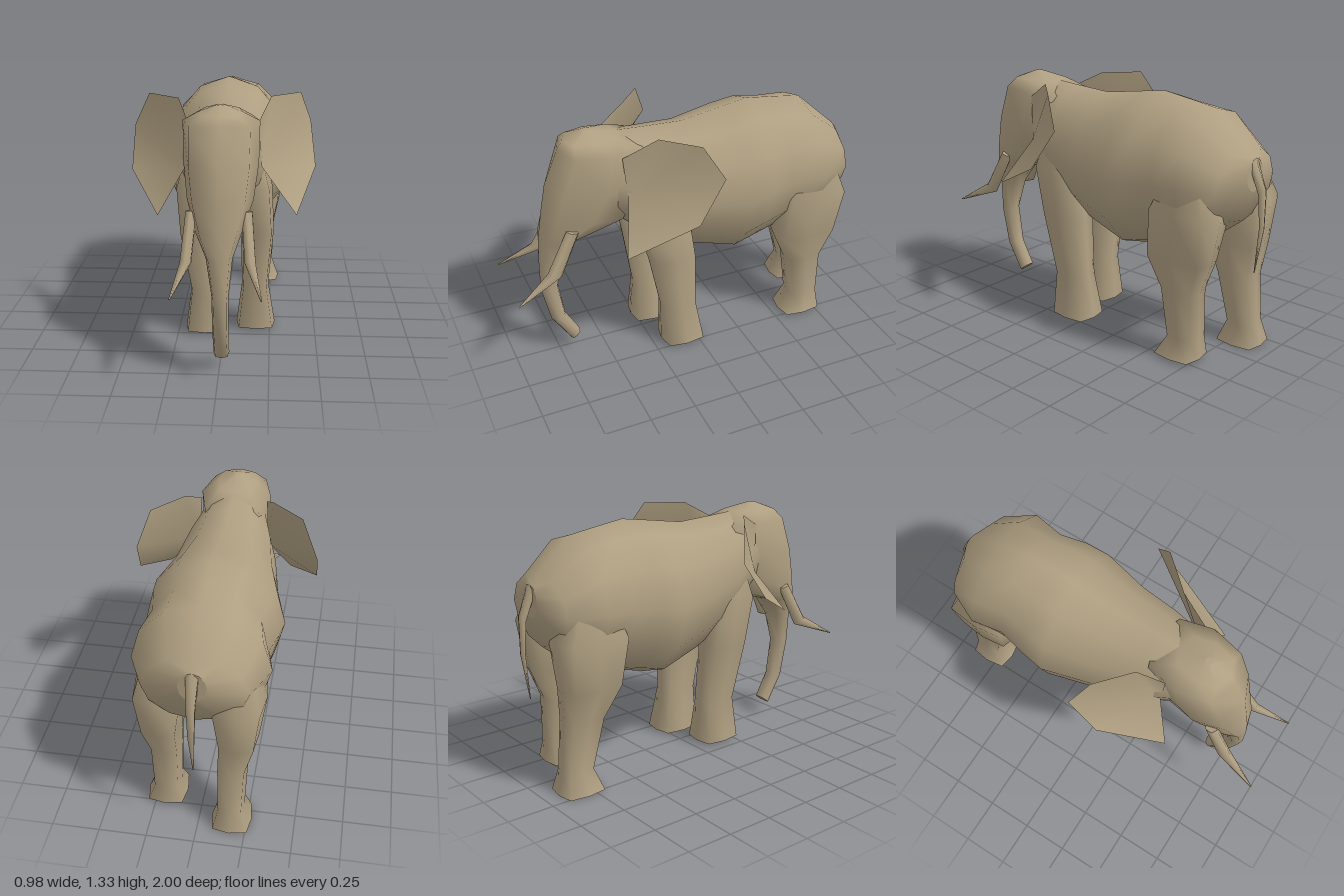
import * as THREE from 'three';

const hide = new THREE.MeshStandardMaterial({ color: 0xaf9f81, side: THREE.DoubleSide });
hide.name = 'tan hide';

// Lofts smooth skin through rings listed [frontZ, frontY, backZ, backY, halfWidth, centreX].
// bulge 1 gives an ellipse, smaller values a squarer section, larger ones a diamond.
function loft(name, rings, sides = 8, bulge = 1) {
  const pos = [], idx = [];
  const soft = (v) => (Math.abs(v) < 1e-6 ? 0 : Math.sign(v) * Math.abs(v) ** bulge);
  const point = ([fz, fy, bz, by, w, cx = 0], i) => {
    const a = (i / sides) * Math.PI * 2;
    const c = soft(Math.cos(a)), s = soft(Math.sin(a));
    return [cx + s * w, (fy + by) / 2 + (c * (fy - by)) / 2, (fz + bz) / 2 + (c * (fz - bz)) / 2];
  };
  for (const r of rings) for (let i = 0; i < sides; i++) pos.push(...point(r, i));
  for (let j = 0; j < rings.length - 1; j++) {
    for (let i = 0; i < sides; i++) {
      const n = (i + 1) % sides;
      const a = j * sides + i, b = a + sides, c = (j + 1) * sides + n, d = j * sides + n;
      idx.push(a, b, c, a, c, d);
    }
  }
  // separate vertices keep the end caps crisp
  [rings[0], rings[rings.length - 1]].forEach((r, end) => {
    const base = pos.length / 3;
    pos.push(r[5] || 0, (r[1] + r[3]) / 2, (r[0] + r[2]) / 2);
    for (let i = 0; i < sides; i++) pos.push(...point(r, i));
    for (let i = 0; i < sides; i++) {
      const p = base + 1 + i, q = base + 1 + ((i + 1) % sides);
      idx.push(base, end ? q : p, end ? p : q);
    }
  });
  return build(name, pos, idx);
}

function build(name, pos, idx) {
  const g = new THREE.BufferGeometry();
  g.setAttribute('position', new THREE.Float32BufferAttribute(pos, 3));
  g.setIndex(idx);
  g.computeVertexNormals();
  const mesh = new THREE.Mesh(g, hide);
  mesh.name = name;
  return mesh;
}

// Thin ear sheet, fanned from its lower root (the last point)
function ear(name, pts, flip) {
  const idx = [], last = pts.length - 1;
  for (let i = 0; i < last - 1; i++) idx.push(last, flip ? i : i + 1, flip ? i + 1 : i);
  return build(name, pts.flat(), idx);
}

export function createModel() {
  const model = new THREE.Group();
  model.name = 'elephant';

  // Body, rump to neck: [z, top, bottom, halfWidth]
  const body = [
    [-0.935, 1.07, 0.9, 0.07], [-0.88, 1.12, 0.74, 0.26], [-0.7, 1.28, 0.6, 0.345],
    [-0.53, 1.305, 0.54, 0.31], [-0.38, 1.325, 0.505, 0.345], [-0.25, 1.305, 0.47, 0.36],
    [0, 1.265, 0.54, 0.295], [0.22, 1.275, 0.64, 0.255], [0.38, 1.285, 0.78, 0.2],
    [0.5, 1.27, 0.86, 0.15],
  ].map(([z, top, bottom, w]) => [z, top, z, bottom, w]);
  model.add(loft('body', body, 12, 1.05));

  // Head, neck and trunk
  model.add(loft('headAndTrunk', [
    [0.54, 1.32, 0.5, 1.32, 0.02],
    [0.65, 1.28, 0.36, 1.285, 0.11],
    [0.68, 1.235, 0.22, 1.225, 0.192],
    [0.76, 1.05, 0.2, 1.0, 0.188],
    [0.79, 0.9, 0.34, 0.82, 0.165],
    [0.815, 0.75, 0.62, 0.735, 0.115],
    [0.825, 0.62, 0.69, 0.62, 0.065, 0.005],
    [0.83, 0.43, 0.735, 0.45, 0.042, 0.01],
    [0.785, 0.22, 0.705, 0.24, 0.04, 0.01],
    [0.685, 0.06, 0.63, 0.105, 0.04, 0.01],
  ], 8, 0.75));

  // Tusks
  for (const s of [1, -1]) {
    model.add(loft(s > 0 ? 'leftTusk' : 'rightTusk', [
      [0.7, 0.835, 0.63, 0.82, 0.03, s * 0.135],
      [0.82, 0.62, 0.745, 0.585, 0.03, s * 0.155],
      [1, 0.5, 0.995, 0.495, 0.004, s * 0.212],
    ], 6));
  }

  // Ears, spread a little differently on each side
  model.add(ear('leftEar', [
    [0.185, 1.215, 0.4], [0.245, 1.315, 0.23], [0.4, 1.31, 0.06], [0.46, 1.14, -0.04],
    [0.485, 0.92, 0.11], [0.38, 0.75, 0.46], [0.2, 0.98, 0.38],
  ], false));
  model.add(ear('rightEar', [
    [-0.18, 1.23, 0.39], [-0.23, 1.305, 0.25], [-0.4, 1.305, 0.1], [-0.49, 1.12, 0.02],
    [-0.49, 0.91, 0.18], [-0.32, 0.75, 0.5], [-0.19, 0.97, 0.38],
  ], true));

  // Legs in mid-stride: [y, frontZ, backZ, halfWidth, centreX]
  const legs = {
    leftFrontLeg: [
      [1.0, 0.31, 0.1, 0.07, 0.14], [0.84, 0.345, 0.04, 0.1, 0.155], [0.58, 0.27, 0.01, 0.09, 0.178],
      [0.25, 0.2, 0, 0.073, 0.168], [0.01, 0.2, -0.04, 0.107, 0.172],
    ],
    rightFrontLeg: [
      [1.0, 0.31, 0.12, 0.07, -0.14], [0.84, 0.345, 0.07, 0.1, -0.155], [0.58, 0.3, 0.06, 0.09, -0.15],
      [0.25, 0.26, 0.06, 0.073, -0.108], [0.015, 0.28, 0.04, 0.105, -0.105],
    ],
    leftHindLeg: [
      [1.05, -0.62, -0.78, 0.08, 0.18], [0.8, -0.5, -0.88, 0.135, 0.195], [0.55, -0.48, -0.84, 0.1, 0.205],
      [0.38, -0.56, -0.77, 0.078, 0.192], [0.12, -0.6, -0.77, 0.073, 0.187], [0.015, -0.54, -0.78, 0.105, 0.195],
    ],
    rightHindLeg: [
      [1.05, -0.64, -0.8, 0.08, -0.18], [0.8, -0.54, -0.915, 0.135, -0.195], [0.55, -0.57, -0.89, 0.1, -0.195],
      [0.38, -0.66, -0.87, 0.078, -0.168], [0.12, -0.73, -0.89, 0.07, -0.167], [0, -0.68, -0.92, 0.105, -0.17],
    ],
  };
  for (const [name, rings] of Object.entries(legs)) {
    model.add(loft(name, rings.map(([y, f, b, w, x]) => [f, y, b, y, w, x]), 8, 0.45));
  }

  // Tail
  model.add(loft('tail', [
    [-0.91, 1.03, -0.935, 1.07, 0.035],
    [-0.965, 0.88, -1, 0.92, 0.025],
    [-0.975, 0.72, -1, 0.72, 0.018],
    [-0.955, 0.48, -0.96, 0.48, 0.003],
  ], 6));

  return model;
}
